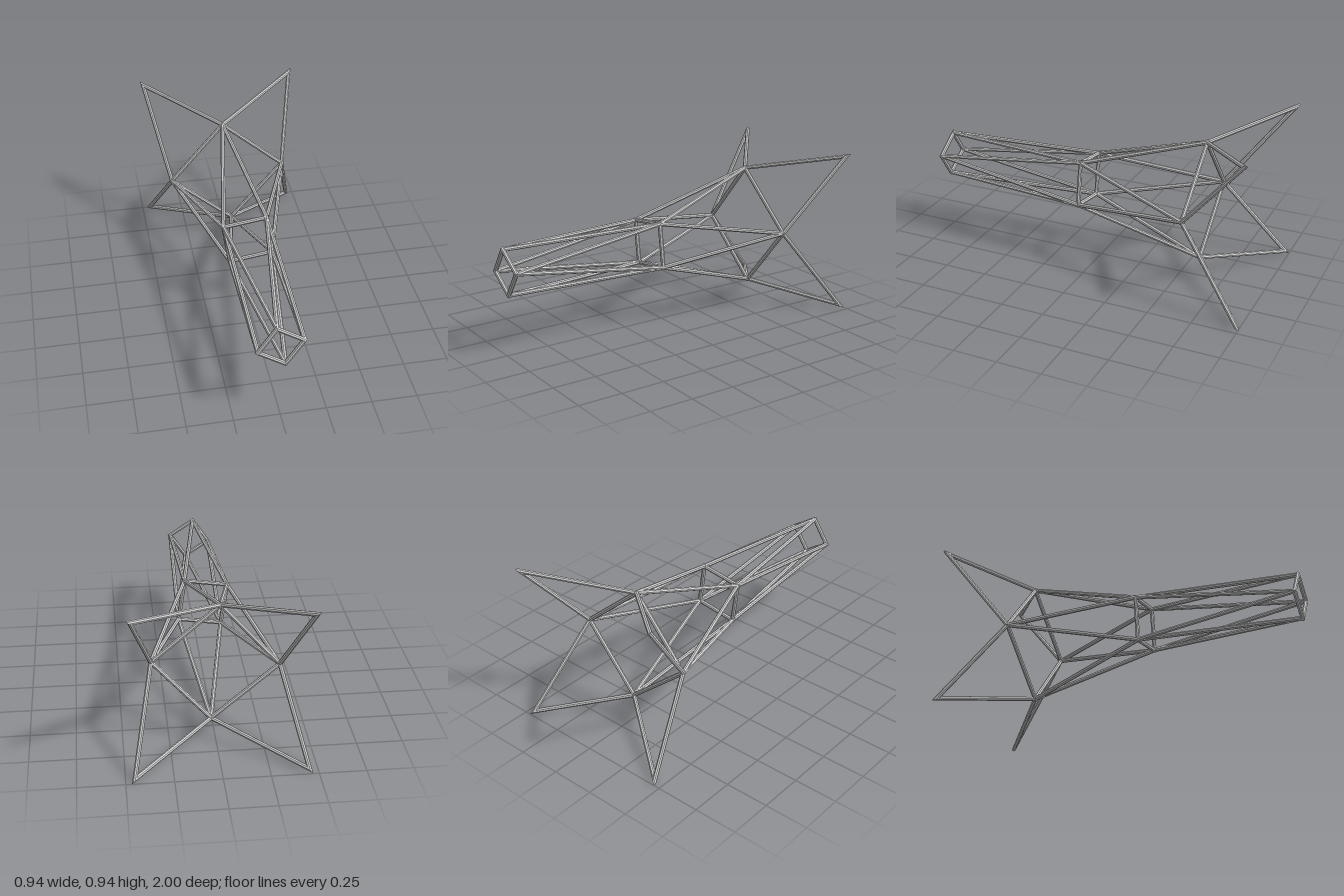
import * as THREE from 'three';

const RADIUS = 0.0125, SIDES = 8, CENTRE_Y = 0.47;

// Four points made by turning one point in quarter steps (clockwise) round the long axis
function quarterTurns(x, y, z) {
  return [[x, y], [y, -x], [-x, -y], [-y, x]].map(([a, b]) => new THREE.Vector3(a, b + CENTRE_Y, z));
}

// Straight strut whose ends are cut by the planes with normals cutA and cutB
function strutGeometry(a, b, cutA, cutB) {
  const dir = b.clone().sub(a).normalize();
  const geo = new THREE.CylinderGeometry(RADIUS, RADIUS, a.distanceTo(b), SIDES, 1);
  const half = a.distanceTo(b) / 2;
  const turn = new THREE.Quaternion().setFromUnitVectors(new THREE.Vector3(0, 1, 0), dir);
  const pos = geo.attributes.position, v = new THREE.Vector3();
  for (let i = 0; i < pos.count; i++) {
    v.fromBufferAttribute(pos, i);
    const atEnd = v.y > 0;
    v.y -= atEnd ? half : -half;
    v.applyQuaternion(turn);
    const cut = atEnd ? cutB : cutA;
    v.addScaledVector(dir, -v.dot(cut) / dir.dot(cut)).add(atEnd ? b : a);
    pos.setXYZ(i, v.x, v.y, v.z);
  }
  geo.computeVertexNormals();
  return geo;
}

export function createModel() {
  const model = new THREE.Group();
  model.name = 'strutFrame';
  const steel = new THREE.MeshStandardMaterial({ color: 0xd4d4d4, flatShading: true });
  steel.name = 'light grey steel';

  function addStrut(group, a, b, cutA, cutB) {
    const mesh = new THREE.Mesh(strutGeometry(a, b, cutA, cutB), steel);
    mesh.name = group.name + 'Strut';
    group.add(mesh);
  }

  function addGroup(name) {
    const group = new THREE.Group();
    group.name = name;
    model.add(group);
    return group;
  }

  // Closed loop of struts with mitred corners
  function addLoop(name, points) {
    const group = addGroup(name), n = points.length;
    const dirs = points.map((p, i) => points[(i + 1) % n].clone().sub(p).normalize());
    const cuts = dirs.map((d, i) => d.clone().add(dirs[(i + n - 1) % n]).normalize());
    points.forEach((p, i) => addStrut(group, p, points[(i + 1) % n], cuts[i], cuts[(i + 1) % n]));
  }

  // Zigzag of square-ended struts joining two rings
  function addLacing(name, from, to) {
    const group = addGroup(name);
    from.forEach((p, i) => {
      for (const k of [0, 1]) {
        const q = to[(i + k) % 4];
        const dir = q.clone().sub(p).normalize();
        addStrut(group, p, q, dir, dir);
      }
    });
  }

  const front = quarterTurns(-0.024, 0.12, 0.9875);
  const middle = quarterTurns(0.105, 0.14, 0.08);
  const rear = quarterTurns(-0.024, 0.34, -0.62);
  const tips = quarterTurns(0.452, 0.452, -0.979);

  // Square rings, each twisted against the next
  addLoop('frontRing', front);
  addLoop('middleRing', middle);
  addLoop('rearRing', rear);

  // Four pointed fins in one continuous zigzag
  addLoop('rearFins', rear.flatMap((p, i) => [p, tips[i]]));

  // Diagonal lacing along the body
  addLacing('frontLacing', middle, front);
  addLacing('rearLacing', middle, rear);

  return model;
}
